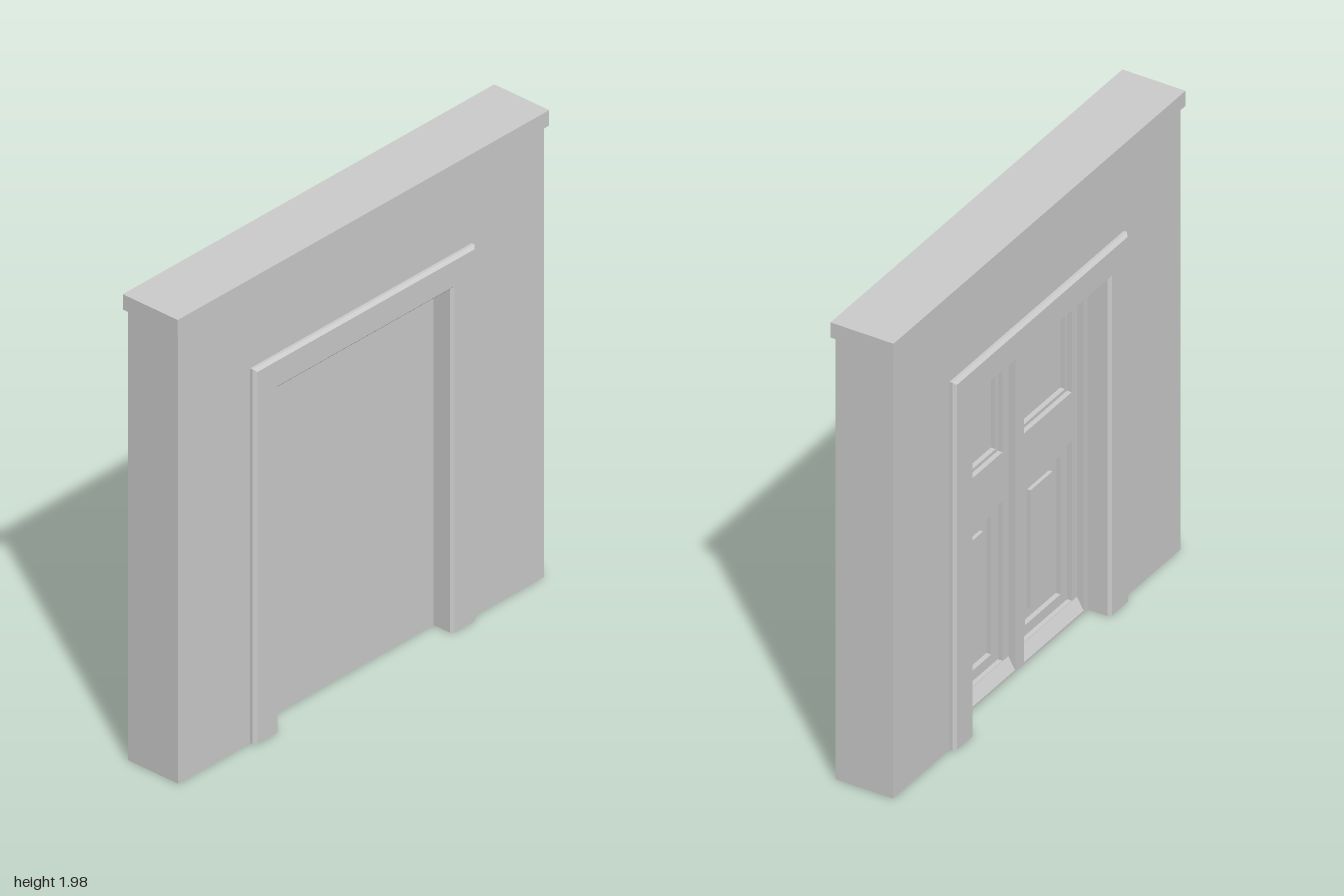
import * as THREE from 'three';

const material = new THREE.MeshStandardMaterial({ color: 0xcccccc });

function add(parent, name, geometry) {
  const mesh = new THREE.Mesh(geometry, material);
  mesh.name = name;
  parent.add(mesh);
  return mesh;
}

// Axis-aligned box from its limits
function box(x0, x1, y0, y1, z0, z1) {
  return new THREE.BoxGeometry(x1 - x0, y1 - y0, z1 - z0)
    .translate((x0 + x1) / 2, (y0 + y1) / 2, (z0 + z1) / 2);
}

const polygon = (points) => points.map(([a, b]) => new THREE.Vector2(a, b));
const rect = (z0, z1, y0, y1) => polygon([[z0, y0], [z1, y0], [z1, y1], [z0, y1]]);

// Plate drawn in the (z, y) plane, filling x0..x1, with holes
function plate(outline, holes, x0, x1) {
  const shape = new THREE.Shape(outline);
  holes.forEach((h) => shape.holes.push(new THREE.Path(h)));
  return new THREE.ExtrudeGeometry(shape, { depth: x1 - x0, bevelEnabled: false })
    .rotateY(-Math.PI / 2).translate(x1, 0, 0);
}

const OPEN_Z = 0.465;   // half width of the doorway
const OPEN_Y = 1.455;   // height of the doorway
const WALL_X = 0.123;   // half thickness of the wall

// Mitred casing: a chamfered section carried up, across and down the doorway
function casingGeometry() {
  const w = 0.132, x = 0.147, c = 0.012;
  const section = [
    [0, -x + c], [c, -x], [w - c, -x], [w, -x + c],
    [w, x - c], [w - c, x], [c, x], [0, x - c],
  ];
  const stations = [
    (o) => [0, OPEN_Z + o], (o) => [OPEN_Y + o, OPEN_Z + o],
    (o) => [OPEN_Y + o, -OPEN_Z - o], (o) => [0, -OPEN_Z - o],
  ];
  const positions = [], n = section.length;
  const point = (s, i) => {
    const [o, px] = section[i % n];
    const [y, z] = stations[s](o);
    return [px, y, z];
  };
  const tri = (a, b, d) => positions.push(...a, ...b, ...d);
  for (let s = 0; s < 3; s++) {
    for (let i = 0; i < n; i++) {
      const a = point(s, i), b = point(s, i + 1), d = point(s + 1, i + 1), e = point(s + 1, i);
      tri(a, d, b);
      tri(a, e, d);
    }
  }
  // Feet of the two posts
  for (let i = 1; i < n - 1; i++) {
    tri(point(0, 0), point(0, i), point(0, i + 1));
    tri(point(3, 0), point(3, i + 1), point(3, i));
  }
  const geometry = new THREE.BufferGeometry();
  geometry.setAttribute('position', new THREE.Float32BufferAttribute(positions, 3));
  geometry.computeVertexNormals();
  return geometry;
}

export function createModel() {
  const model = new THREE.Group();
  model.name = 'doorwayWall';

  // Wall with a doorway cut out, and its coping
  const z = OPEN_Z + 0.12, y = OPEN_Y + 0.12;
  add(model, 'wall', plate(polygon([
    [-0.985, 0], [-z, 0], [-z, y], [z, y], [z, 0], [0.985, 0], [0.985, 1.91], [-0.985, 1.91],
  ]), [], -WALL_X, WALL_X));
  add(model, 'coping', box(-0.135, 0.135, 1.91, 1.975, -1, 1));
  const casing = add(model, 'casing', casingGeometry());
  casing.material = material.clone();
  casing.material.side = THREE.DoubleSide;

  // Door: plain on one side, framed and panelled on the other
  const door = new THREE.Group();
  door.name = 'door';
  model.add(door);
  add(door, 'plainFace', box(0.02, 0.055, 0, OPEN_Y, -OPEN_Z, OPEN_Z));
  const whole = rect(-OPEN_Z, OPEN_Z, 0, OPEN_Y);
  add(door, 'doorFrame', plate(whole,
    [rect(0.03, 0.44, 0.01, 1.43), rect(-0.44, -0.03, 0.01, 1.43)], -0.05, -0.02));

  // Stepped panel recesses, mirrored on the two leaves
  const recesses = (upper, lower) => [1, -1].flatMap((side) => {
    const mirrored = (inset, y0, y1) => {
      const a = side * (0.07 + inset), b = side * (0.405 - inset);
      return rect(Math.min(a, b), Math.max(a, b), y0 + inset, y1 - inset);
    };
    return [mirrored(upper, 0.96, 1.38), mirrored(lower, 0.06, 0.75)];
  });
  add(door, 'leafRails', plate(whole, recesses(0, 0), -0.02, 0));
  add(door, 'panelMouldings', plate(whole, recesses(0.015, 0.045), 0, 0.02));

  for (const side of [1, -1]) {
    // Raised field in the lower panel
    add(door, 'raisedField', box(0.005, 0.02, 0.15, 0.66, side * 0.2375 - 0.075, side * 0.2375 + 0.075));
    // Sloping weather board at the foot of each leaf
    const wedge = new THREE.Shape(polygon([[-0.05, 0.005], [-0.019, 0.005], [-0.019, 0.06]]));
    add(door, 'weatherBoard', new THREE.ExtrudeGeometry(wedge, { depth: 0.41, bevelEnabled: false })
      .translate(0, 0, side * 0.235 - 0.205));
  }
  return model;
}
